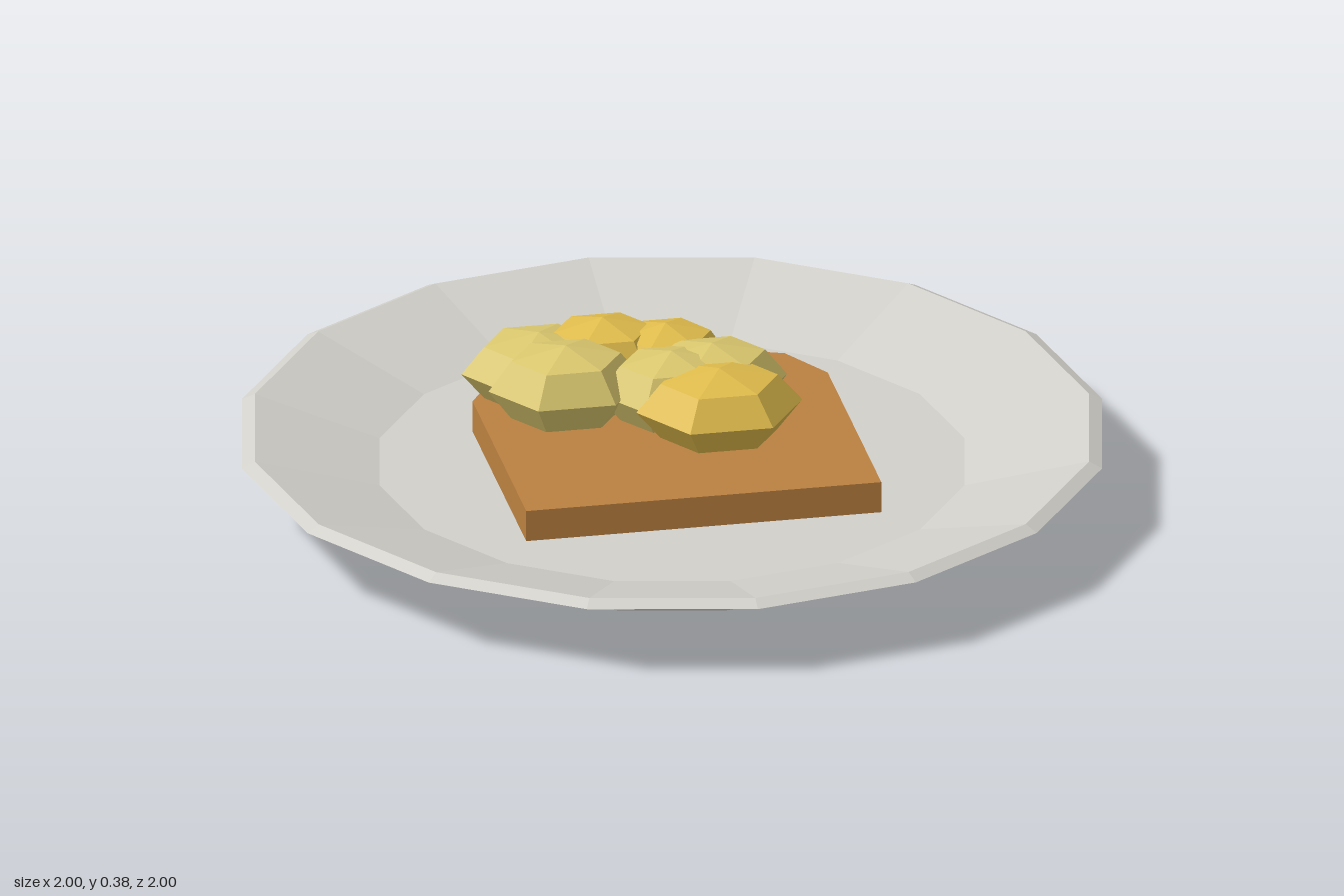
import * as THREE from 'three';

const plateMat = new THREE.MeshStandardMaterial({ name: 'plate grey', color: 0xd2d0ca });
const breadMat = new THREE.MeshStandardMaterial({ name: 'toast brown', color: 0xbb8040 });
const yellowMat = new THREE.MeshStandardMaterial({ name: 'rich yellow', color: 0xe0bc4c });
const paleMat = new THREE.MeshStandardMaterial({ name: 'pale yellow', color: 0xdac76e });

// Faceted mesh: every face gets its own normal
function faceted(geometry, material, name) {
  const g = geometry.index ? geometry.toNonIndexed() : geometry;
  g.computeVertexNormals();
  const mesh = new THREE.Mesh(g, material);
  mesh.name = name;
  return mesh;
}

export function createModel() {
  const model = new THREE.Group();
  model.name = 'eggsOnToast';

  // Sixteen-sided plate: foot, underside, bevelled rim, inner slope, floor
  const profile = [[0, 0], [0.62, 0], [0.66, 0.055], [1, 0.17], [0.97, 0.185], [0.68, 0.1], [0, 0.1]]
    .map(([r, y]) => new THREE.Vector2(r, y));
  model.add(faceted(new THREE.LatheGeometry(profile, 16), plateMat, 'plate'));

  // Slice of toast, straight at the front with a clipped round crust at the back
  const half = [[0.413, -0.37], [0.413, 0.255], [0.338, 0.38], [0.165, 0.443]];
  const outline = [...half, ...half.map(([x, y]) => [-x, y]).reverse()];
  const slice = new THREE.Shape(outline.map(([x, y]) => new THREE.Vector2(x, y)));
  const sliceGeo = new THREE.ExtrudeGeometry(slice, { depth: 0.075, bevelEnabled: false });
  sliceGeo.rotateX(-Math.PI / 2).translate(0, 0.1, 0);
  model.add(faceted(sliceGeo, breadMat, 'toast'));

  // Overlapping clumps of scrambled egg: x, y, z, radii x, y, z, colour
  const clumps = [
    [0.09, 0.275, 0.1, 0.193, 0.095, 0.167, yellowMat],
    [-0.235, 0.285, -0.06, 0.18, 0.1, 0.152, paleMat],
    [0.0, 0.28, -0.005, 0.17, 0.095, 0.14, paleMat],
    [0.1, 0.28, -0.035, 0.175, 0.093, 0.145, paleMat],
    [-0.27, 0.27, -0.2, 0.18, 0.09, 0.156, paleMat],
    [-0.12, 0.28, -0.21, 0.16, 0.1, 0.135, yellowMat],
    [0.02, 0.275, -0.175, 0.148, 0.094, 0.132, yellowMat],
  ];
  const eggs = new THREE.Group();
  eggs.name = 'scrambledEggs';
  clumps.forEach(([x, y, z, rx, ry, rz, mat], i) => {
    const g = new THREE.SphereGeometry(1, 6, 4).scale(rx, ry, rz).translate(x, y, z);
    eggs.add(faceted(g, mat, `eggClump${i + 1}`));
  });
  model.add(eggs);
  return model;
}
